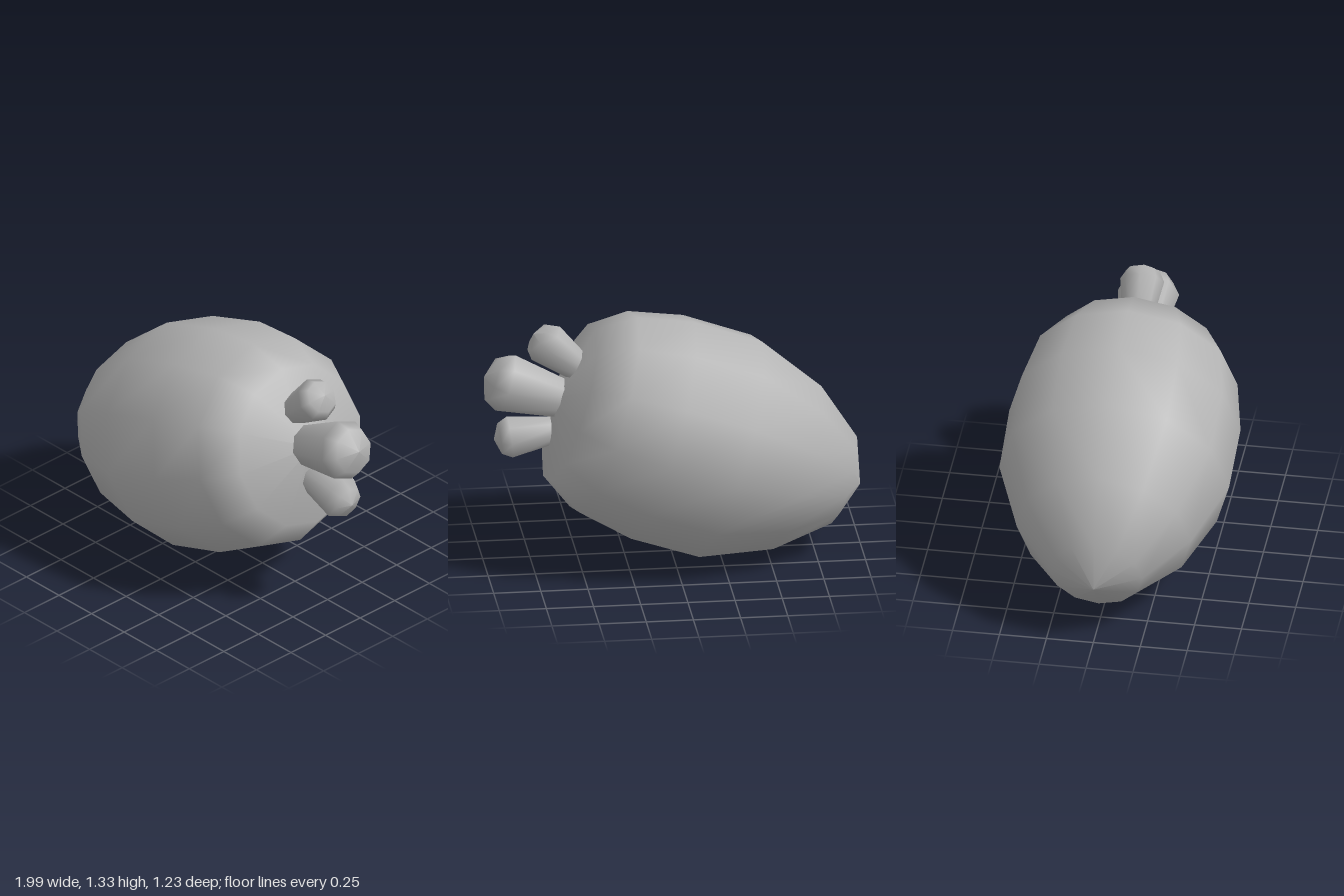
import * as THREE from 'three';

// Turned solid lying in the z = 0 plane, its axis raised by `degrees` from +x.
function turned(name, profile, sides, x, y, degrees, material, scale = 1) {
  const points = profile.map(([r, along]) => new THREE.Vector2(r * scale, along * scale));
  const mesh = new THREE.Mesh(new THREE.LatheGeometry(points, sides), material);
  mesh.name = name;
  mesh.position.set(x, y, 0);
  mesh.rotation.z = THREE.MathUtils.degToRad(degrees - 90);
  return mesh;
}

export function createModel() {
  const group = new THREE.Group();
  group.name = 'root';
  const grey = new THREE.MeshStandardMaterial({ color: 0xb4b4b4 });
  grey.name = 'plain grey';

  // Egg-shaped body: radius and distance along the tilted axis
  const body = [
    [0, -0.757], [0.246, -0.655], [0.464, -0.38], [0.612, 0],
    [0.616, 0.382], [0.556, 0.68], [0.431, 0.872], [0, 0.967],
  ];
  group.add(turned('body', body, 12, -0.285, 0.58, 19, grey));

  // Blunt stubs fanning out of the wide end, rooted inside the body
  const stub = [[0, -0.42], [0.09, -0.42], [0.163, 0], [0.122, 0.075], [0, 0.12]];
  group.add(turned('middleStub', stub, 8, 0.88, 0.99, 19, grey));
  group.add(turned('upperStub', stub, 8, 0.665, 1.205, 40, grey, 0.72));
  group.add(turned('lowerStub', stub, 8, 0.855, 0.683, -7, grey, 0.72));
  return group;
}
